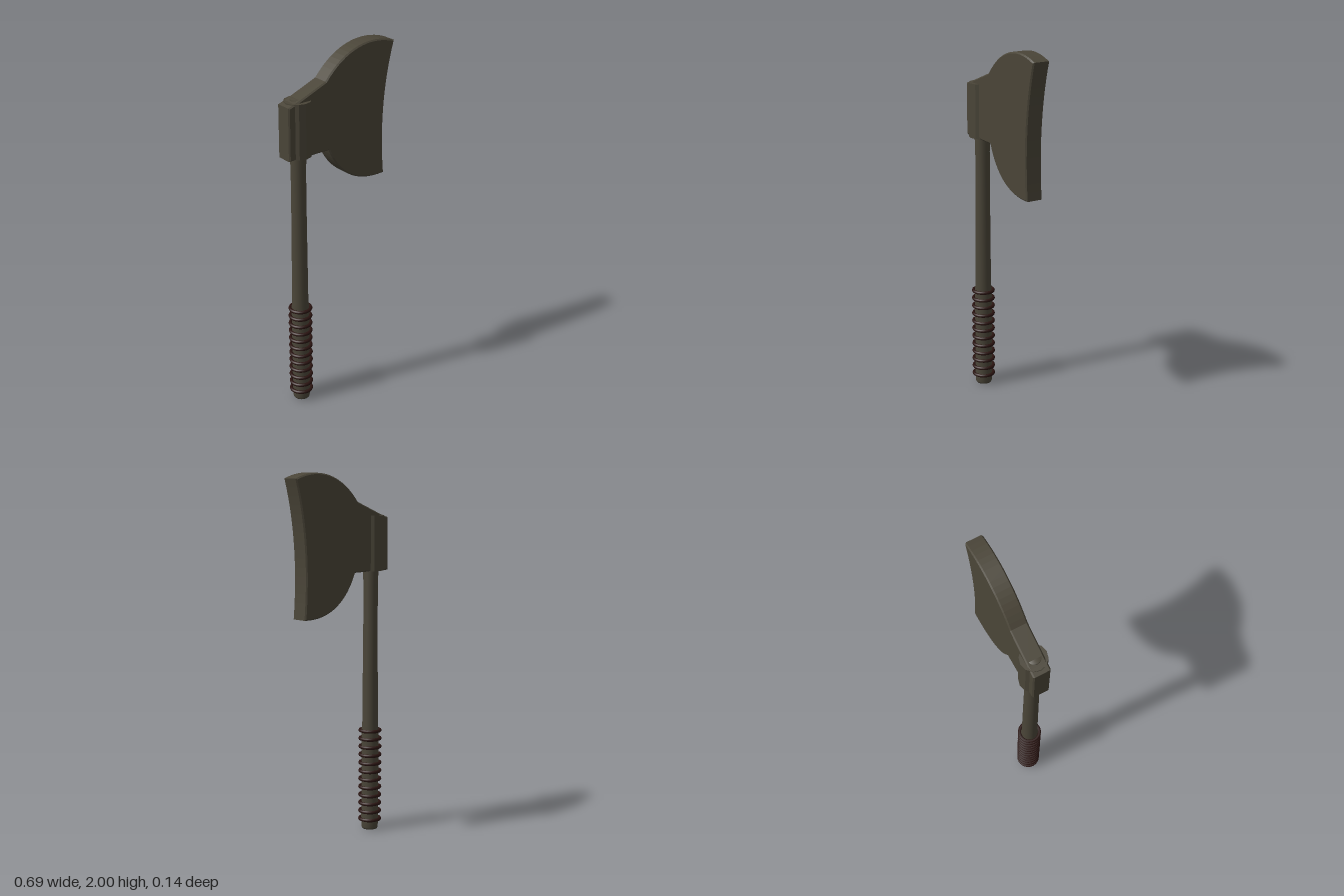
import * as THREE from 'three';

export function createModel() {
  const model = new THREE.Group();
  model.name = 'axe';
  const iron = new THREE.MeshStandardMaterial({ color: 0x4a4538 });
  iron.name = 'dark olive iron';
  const cord = new THREE.MeshStandardMaterial({ color: 0x2a1411 });
  cord.name = 'dark red cord';
  const shaftX = -0.256;

  function add(name, geometry, material, x = 0, y = 0, z = 0) {
    const mesh = new THREE.Mesh(geometry, material);
    mesh.name = name;
    mesh.position.set(x, y, z);
    model.add(mesh);
    return mesh;
  }

  // Axe head: flared blade with a hollow cutting edge and small bevels
  const outline = new THREE.Shape();
  outline.moveTo(-0.345, 1.464);
  outline.lineTo(-0.09, 1.464);
  outline.bezierCurveTo(-0.03, 1.32, 0.09, 1.225, 0.284, 1.24);
  outline.bezierCurveTo(0.26, 1.48, 0.27, 1.73, 0.343, 1.972);
  outline.bezierCurveTo(0.18, 2.035, 0.01, 1.99, -0.11, 1.842);
  outline.lineTo(-0.29, 1.77);
  outline.lineTo(-0.345, 1.752);
  outline.closePath();
  const blade = new THREE.ExtrudeGeometry(outline, {
    depth: 0.082, curveSegments: 16, bevelEnabled: true,
    bevelThickness: 0.007, bevelSize: 0.007, bevelOffset: -0.007, bevelSegments: 1,
  });
  blade.translate(0, 0, -0.041);
  add('axeHead', blade, iron);

  // Twelve-sided collar around the shaft
  const collar = new THREE.CylinderGeometry(0.072, 0.072, 0.3, 12).toNonIndexed();
  collar.computeVertexNormals();
  add('collar', collar, iron, shaftX, 1.615);

  // Tapered shaft, slightly thicker at the grip and under the head
  const profile = [
    [0, 0], [0.042, 0], [0.046, 0.01], [0.048, 0.05], [0.048, 0.57],
    [0.044, 0.61], [0.042, 0.9], [0.04, 1.2], [0.04, 1.38], [0.043, 1.47],
    [0.041, 1.765], [0.037, 1.778], [0, 1.778],
  ].map(([r, y]) => new THREE.Vector2(r, y));
  add('shaft', new THREE.LatheGeometry(profile, 20), iron, shaftX);

  // Cord rings on the grip
  const ring = new THREE.TorusGeometry(0.056, 0.0095, 8, 24);
  ring.rotateX(Math.PI / 2);
  for (let i = 0; i < 12; i++) {
    add('gripRing' + (i + 1), ring, cord, shaftX, 0.056 + i * 0.0465);
  }
  return model;
}
